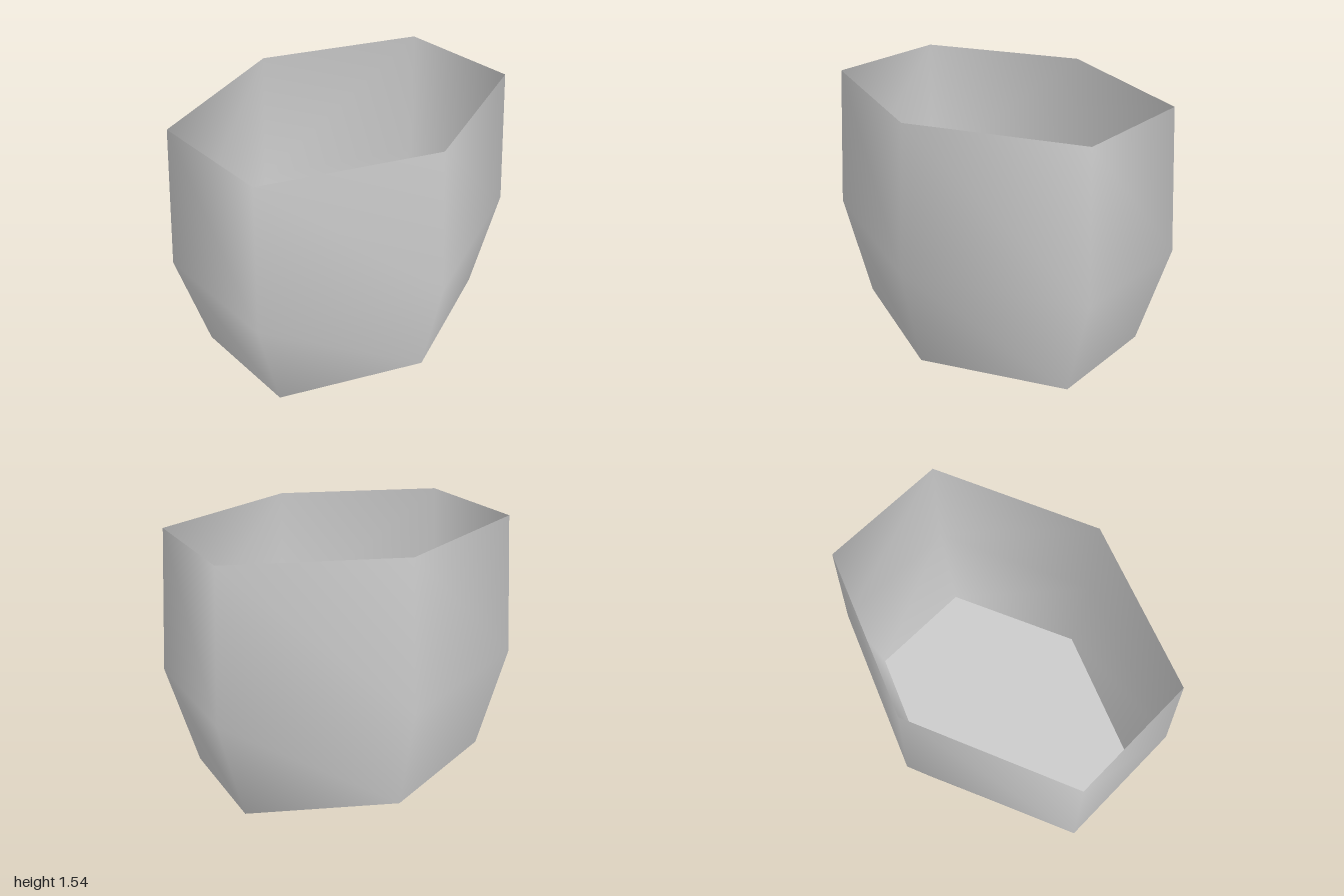
import * as THREE from 'three';

// Height, half width (x) and half depth (z) of each hexagonal ring
const RINGS = [
  { y: 0, rx: 0.706, rz: 0.835 },
  { y: 0.65, rx: 0.832, rz: 1.0 },
  { y: 1.54, rx: 0.77, rz: 0.945 },
];
const SIDES = 6;

// Corner of a hexagon with points on the x axis and flat edges at front and back
function corner({ y, rx, rz }, i) {
  const a = (i / SIDES) * Math.PI * 2;
  return [rx * Math.cos(a), y, (rz * Math.sin(a)) / Math.sin(Math.PI / 3)];
}

// Open wall lofted through the rings, sharing vertices so it shades smoothly
function wallGeometry() {
  const positions = [];
  const index = [];
  RINGS.forEach((ring, r) => {
    for (let i = 0; i < SIDES; i++) {
      positions.push(...corner(ring, i));
      if (r === 0) continue;
      const j = (i + 1) % SIDES;
      const lo = (r - 1) * SIDES;
      const hi = r * SIDES;
      index.push(lo + i, hi + i, hi + j, lo + i, hi + j, lo + j);
    }
  });
  const g = new THREE.BufferGeometry();
  g.setAttribute('position', new THREE.Float32BufferAttribute(positions, 3));
  g.setIndex(index);
  g.computeVertexNormals();
  return g;
}

// Flat hexagonal base
function baseGeometry() {
  const shape = new THREE.Shape();
  for (let i = 0; i < SIDES; i++) {
    const [x, , z] = corner(RINGS[0], i);
    if (i === 0) shape.moveTo(x, z);
    else shape.lineTo(x, z);
  }
  return new THREE.ShapeGeometry(shape).rotateX(-Math.PI / 2);
}

export function createModel() {
  const grey = new THREE.MeshStandardMaterial({ color: 0xcccccc, side: THREE.DoubleSide });
  grey.name = 'light grey';

  const model = new THREE.Group();
  model.name = 'hexagonalPot';

  const wall = new THREE.Mesh(wallGeometry(), grey);
  wall.name = 'wall';
  const base = new THREE.Mesh(baseGeometry(), grey);
  base.name = 'base';

  model.add(wall, base);
  return model;
}
